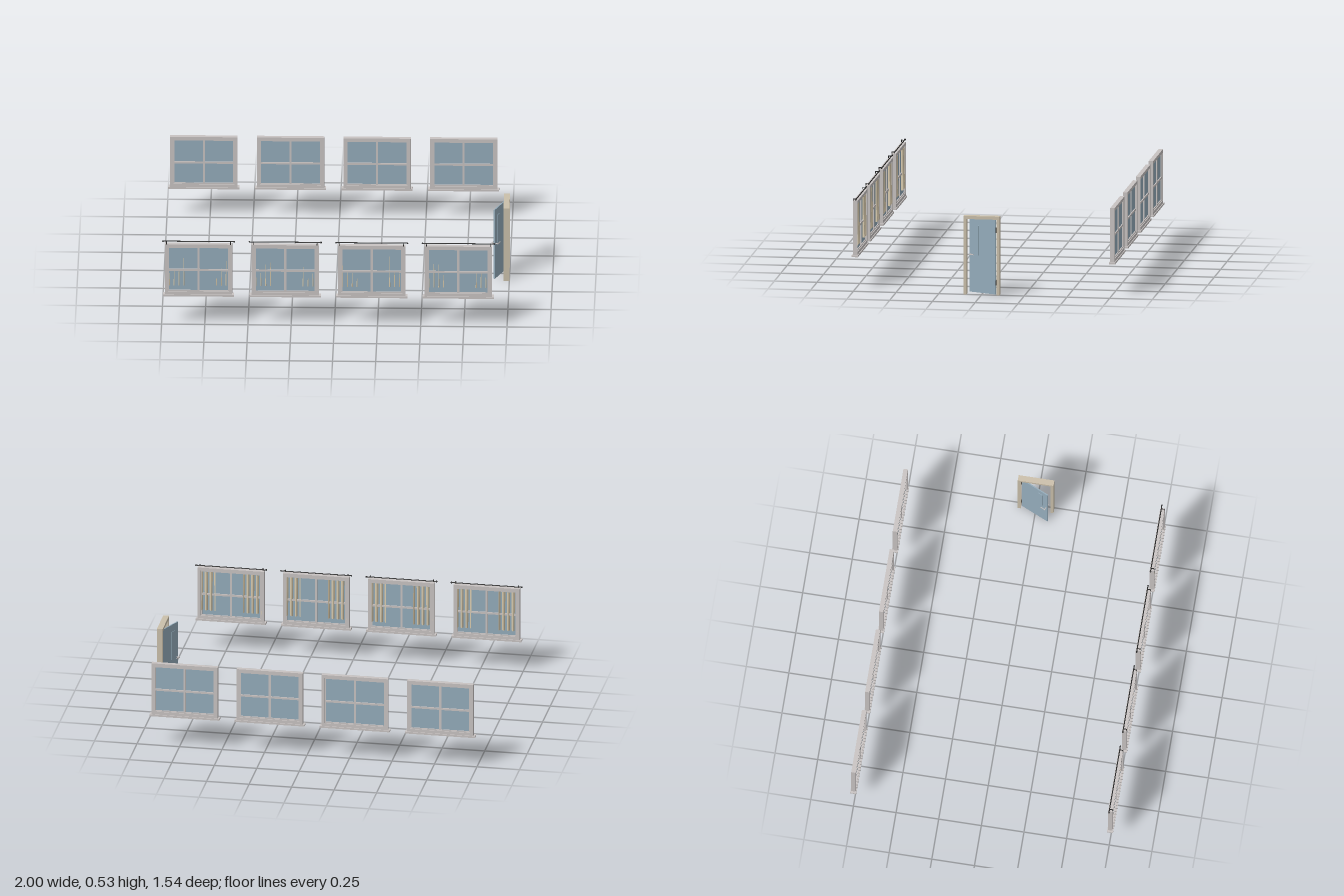
import * as THREE from 'three';

const mat = (name, color, extra = {}) => {
  const m = new THREE.MeshStandardMaterial({ color, ...extra });
  m.name = name;
  return m;
};

export function createModel() {
  const frameGrey = mat('frameGrey', 0xc8c3c2);
  const paneBlue = mat('paneBlue', 0x93abba);
  const doorTan = mat('doorTan', 0xcabfaa);
  const curtainCream = mat('curtainCream', 0xd6c8ab, { side: THREE.DoubleSide });
  const rodBlack = mat('rodBlack', 0x242424);

  const add = (parent, name, geo, material, x = 0, y = 0, z = 0) => {
    const m = new THREE.Mesh(geo, material);
    m.name = name;
    m.position.set(x, y, z);
    parent.add(m);
    return m;
  };
  const box = (parent, name, material, w, h, d, x, y, z) =>
    add(parent, name, new THREE.BoxGeometry(w, h, d), material, x, y, z);

  // rectangular ring with an open centre
  const ring = (parent, name, material, w, h, t, d, y) => {
    const s = new THREE.Shape([[-1, -1], [1, -1], [1, 1], [-1, 1]].map(([a, b]) => new THREE.Vector2(a * w / 2, b * h / 2)));
    s.holes.push(new THREE.Path([[-1, -1], [-1, 1], [1, 1], [1, -1]].map(([a, b]) => new THREE.Vector2(a * (w / 2 - t), b * (h / 2 - t)))));
    const g = new THREE.ExtrudeGeometry(s, { depth: d, bevelEnabled: false }).translate(0, 0, -d / 2);
    return add(parent, name, g, material, 0, y, 0);
  };

  // window centred on its own z = 0
  const makeWindow = () => {
    const g = new THREE.Group();
    g.name = 'window';
    ring(g, 'outerFrame', frameGrey, 0.39, 0.318, 0.018, 0.026, 0.356);
    ring(g, 'sash', frameGrey, 0.356, 0.284, 0.008, 0.016, 0.356);
    box(g, 'mullion', frameGrey, 0.012, 0.28, 0.016, 0, 0.356, 0);
    box(g, 'middleRail', frameGrey, 0.35, 0.012, 0.016, 0, 0.35, 0);
    box(g, 'glass', paneBlue, 0.35, 0.28, 0.004, 0, 0.356, 0);
    box(g, 'sill', frameGrey, 0.412, 0.011, 0.036, 0, 0.192, 0);
    return g;
  };

  // pleated curtain whose folds deepen toward the hem; tops = height where each fold passes the glass
  const makeCurtain = (parent, x0, tops) => {
    const pitch = 0.028, n = tops.length, bottom = 0.25, top = 0.49;
    const geo = new THREE.PlaneGeometry(pitch * n, top - bottom, n * 10, 8);
    const p = geo.attributes.position;
    for (let i = 0; i < p.count; i++) {
      const u = p.getX(i) + pitch * n / 2;
      const y = p.getY(i) + (top + bottom) / 2;
      const fold = Math.min(n - 1, Math.floor(u / pitch + 1e-6));
      const slope = 0.0022 / (tops[fold] - bottom);
      const depth = Math.max(0.0055, 0.0072 + slope * (tops[fold] - y));
      p.setXYZ(i, u, y, -depth * Math.cos(2 * Math.PI * u / pitch));
    }
    geo.computeVertexNormals();
    add(parent, 'curtain', geo, curtainCream, x0, 0, -0.005);
  };

  // curtain rod with finials and brackets
  const makeRod = (parent) => {
    const rod = new THREE.Group();
    rod.name = 'curtainRod';
    rod.position.set(0, 0.526, -0.006);
    add(rod, 'rod', new THREE.CylinderGeometry(0.003, 0.003, 0.41, 10).rotateZ(Math.PI / 2), rodBlack);
    for (const s of [-1, 1]) {
      add(rod, 'finial', new THREE.SphereGeometry(0.005, 10, 8), rodBlack, s * 0.207, 0, 0);
      box(rod, 'bracket', rodBlack, 0.004, 0.004, 0.02, s * 0.185, 0, 0.01);
      box(rod, 'bracketFoot', rodBlack, 0.005, 0.012, 0.004, s * 0.185, -0.006, 0.018);
    }
    parent.add(rod);
  };

  const model = new THREE.Group();
  model.name = 'windowsAndDoor';
  const centres = [-0.786, -0.284, 0.217, 0.718];
  const folds = [
    [[0.33, 0.34, 0.37, 0.43], [0.31, 0.36, 0.41]],
    [[0.315, 0.34, 0.38, 0.43], [0.37, 0.31, 0.34]],
    [[0.405, 0.365, 0.33, 0.31], [0.43, 0.375, 0.35]],
    [[0.31, 0.43, 0.39, 0.335], [0.35, 0.37, 0.33]],
  ];
  centres.forEach((x, i) => {
    const front = makeWindow();
    front.name = 'frontWindow' + (i + 1);
    front.position.set(x, 0, 0.753);
    makeCurtain(front, -0.183, folds[i][0]);
    makeCurtain(front, 0.09, folds[i][1]);
    makeRod(front);
    model.add(front);

    const back = makeWindow();
    back.name = 'backWindow' + (i + 1);
    back.position.set(x, 0, -0.753);
    model.add(back);
  });

  // door frame in the right-hand wall
  const doorFrame = new THREE.Group();
  doorFrame.name = 'doorFrame';
  for (const s of [-1, 1]) box(doorFrame, 'jamb', doorTan, 0.034, 0.462, 0.018, 0.983, 0.231, s * 0.096);
  box(doorFrame, 'lintel', doorTan, 0.034, 0.018, 0.174, 0.983, 0.453, 0);
  model.add(doorFrame);

  // open door, pivoting at its hinge; local +z runs along the leaf
  const door = new THREE.Group();
  door.name = 'door';
  door.position.set(0.985, 0, -0.082);
  door.rotation.y = -0.42;
  box(door, 'doorLeaf', paneBlue, 0.007, 0.438, 0.178, 0, 0.221, 0.089);
  for (const s of [-1, 1]) {
    box(door, 'doorPanel', paneBlue, 0.003, 0.175, 0.029, s * 0.005, 0.308, 0.128);
    // lever handle
    const spindle = new THREE.CylinderGeometry(0.003, 0.003, 0.016, 10).rotateZ(Math.PI / 2);
    add(door, 'handleSpindle', spindle, frameGrey, s * 0.011, 0.224, 0.168);
    box(door, 'handleLever', frameGrey, 0.004, 0.005, 0.03, s * 0.019, 0.224, 0.156);
  }
  for (const y of [0.07, 0.38]) {
    add(door, 'hinge', new THREE.CylinderGeometry(0.004, 0.004, 0.03, 10), rodBlack, 0, y, -0.001);
  }
  model.add(door);
  return model;
}
